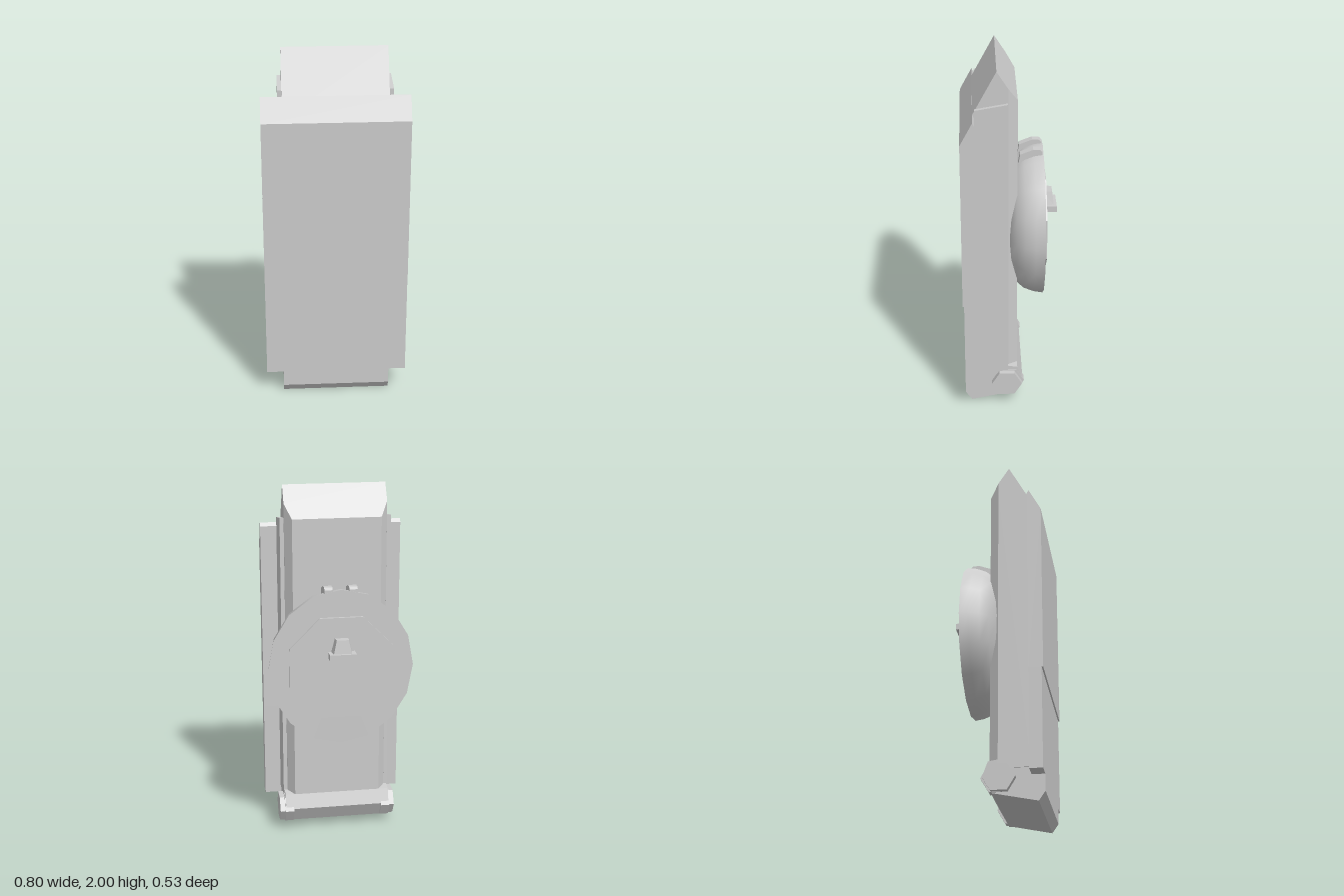
import * as THREE from 'three';
import { toCreasedNormals } from 'three/addons/utils/BufferGeometryUtils.js';

const material = new THREE.MeshStandardMaterial({ color: 0xcccccc, flatShading: true });
const smooth = new THREE.MeshStandardMaterial({ color: 0xcccccc });

// Extrude a side profile of [z, y] points across x, centred on x = 0
function extrudeX(points, width) {
  const shape = new THREE.Shape(points.map(([z, y]) => new THREE.Vector2(z, y)));
  const geo = new THREE.ExtrudeGeometry(shape, { depth: width, bevelEnabled: false });
  return geo.translate(0, 0, -width / 2).rotateY(-Math.PI / 2);
}

// Narrow the vertices of a geometry in x wherever the rule gives a factor
function narrow(geo, rule) {
  const p = geo.attributes.position;
  for (let i = 0; i < p.count; i++) p.setX(i, p.getX(i) * rule(p.getY(i), p.getZ(i)));
  geo.computeVertexNormals();
  return geo;
}

export function createModel() {
  const model = new THREE.Group();
  const add = (name, geo, mat = material) => {
    const mesh = new THREE.Mesh(geo, mat);
    mesh.name = name;
    model.add(mesh);
    return mesh;
  };

  // Main body with a wedge top, and a back panel with bevelled sides
  add('body', extrudeX([
    [0.25, 0.1], [0.25, 1.668], [0.07, 2], [0.01, 1.907], [0.01, 0.1],
  ], 0.565));
  add('backPanel', narrow(extrudeX([
    [0.01, 0.18], [0.01, 1.907], [-0.04, 1.83], [-0.04, 0.18],
  ], 0.565), (y, z) => (z < 0 ? 0.865 : 1)));

  // Thicker foot joining the front slab to the bolts
  add('foot', extrudeX([
    [0.255, 0.05], [0.22, 0], [-0.02, 0.05], [-0.07, 0.14], [-0.04, 0.22], [0.02, 0.23], [0.255, 0.2],
  ], 0.6));

  // Front slab: a thick upper cover and a slightly recessed lower one
  add('upperCover', extrudeX([
    [0.185, 0.69], [0.263, 0.69], [0.263, 1.645], [0.196, 1.77], [0.185, 1.75],
  ], 0.79));
  add('lowerCover', extrudeX([
    [0.185, 0.14], [0.255, 0.14], [0.255, 0.69], [0.185, 0.69],
  ], 0.79));

  for (const s of [1, -1]) {
    // Thin rail along each side of the body
    add('sideRail', extrudeX([
      [0.185, 0.18], [0.185, 1.8], [0.012, 1.83], [0.012, 0.18],
    ], 0.022).translate(s * 0.294, 0, 0));

    // Hexagonal bolt and its collar
    add('boltCollar', new THREE.CylinderGeometry(0.088, 0.088, 0.05, 6)
      .rotateY(Math.PI / 6).rotateZ(Math.PI / 2).rotateX(Math.PI / 6).translate(s * 0.28, 0.13, 0.01));
    add('boltHead', extrudeX(Array.from({ length: 6 }, (_, i) => {
      const a = i * Math.PI / 3;
      return [0.02 + 0.086 * Math.cos(a), 0.127 + 0.082 * Math.sin(a)];
    }), 0.05).translate(s * 0.308, 0, 0));

    // Small rib on the top of the dial rim
    add('rimRib', extrudeX([
      [-0.05, 1.40], [-0.06, 1.455], [-0.13, 1.482], [-0.165, 1.482], [-0.18, 1.47], [-0.18, 1.40],
    ], 0.045).translate(s * 0.068, 0, 0));
  }

  // Domed dial on the back
  const profile = [[0, 0], [0.31, 0], [0.37, 0.035], [0.41, 0.08], [0.432, 0.135], [0.44, 0.186], [0, 0.186]]
    .map(([r, y]) => new THREE.Vector2(r, y));
  add('dial', toCreasedNormals(
    new THREE.LatheGeometry(profile, 16).rotateX(-Math.PI / 2).scale(0.91, 1, 1).translate(0, 1.032, 0), 0.7), smooth);

  // Raised octagonal plate on the dial
  add('dialPlate', new THREE.CylinderGeometry(0.308, 0.308, 0.02, 8)
    .rotateY(Math.PI / 8).rotateX(Math.PI / 2).translate(0, 1.035, -0.19));

  // Hook: a U-shaped lip, open below, capped by a tapered block
  const lip = new THREE.Shape([
    [-0.073, 0.19], [-0.073, 0.265], [0.073, 0.265], [0.073, 0.19],
    [0.05, 0.19], [0.05, 0.248], [-0.05, 0.248], [-0.05, 0.19],
  ].map(([x, z]) => new THREE.Vector2(x, z)));
  add('hookLip', new THREE.ExtrudeGeometry(lip, { depth: 0.035, bevelEnabled: false })
    .rotateX(-Math.PI / 2).translate(0, 1.095, 0));
  add('hookBlock', narrow(extrudeX([
    [-0.19, 1.125], [-0.25, 1.125], [-0.24, 1.205], [-0.19, 1.205],
  ], 0.12), (y, z) => (y > 1.2 ? 0.65 : 1) * (z < -0.2 ? 0.85 : 1)));

  return model;
}
